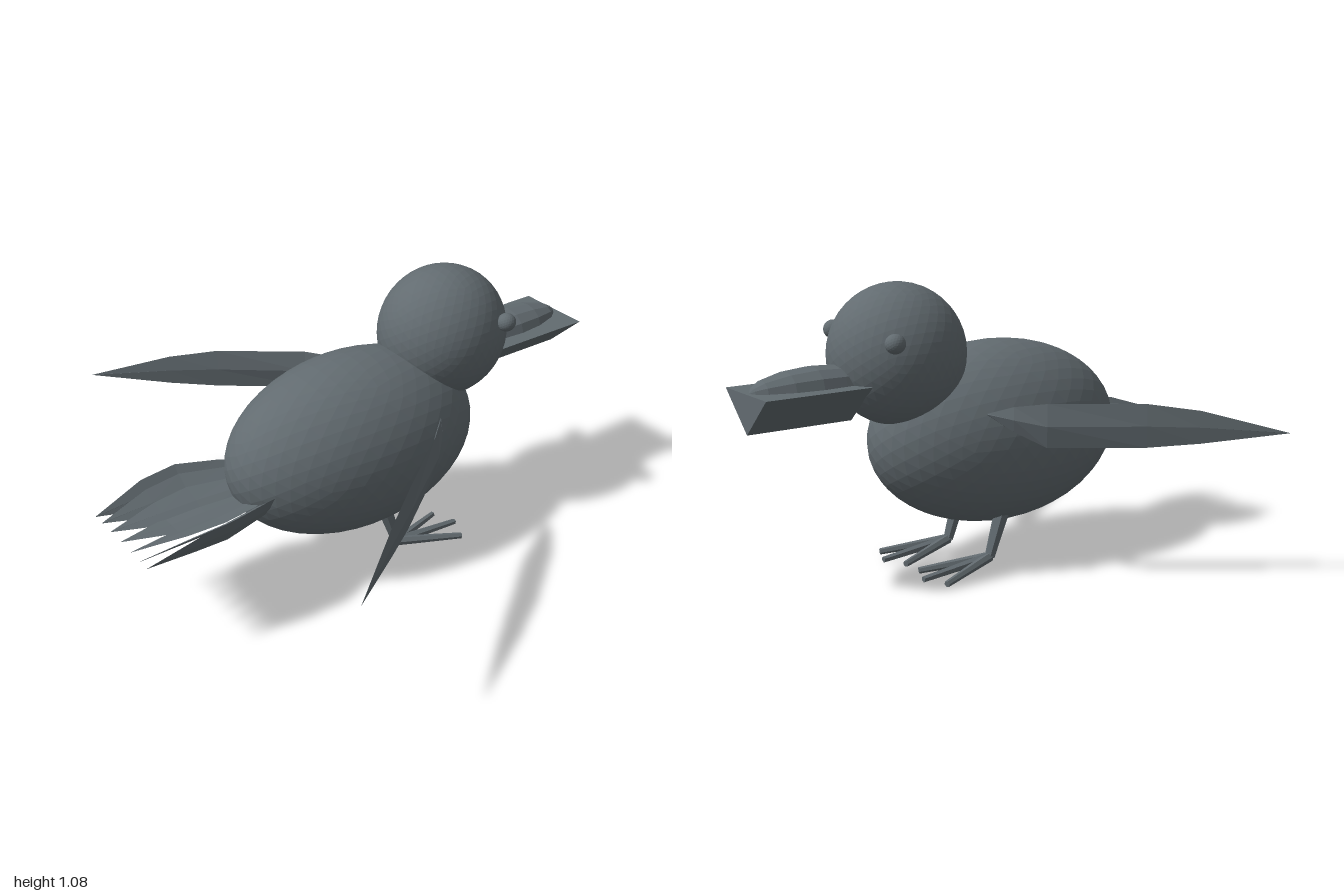
import * as THREE from 'three';

const V = (x, y, z) => new THREE.Vector3(x, y, z);

// Facet a geometry by giving each triangle its own normal
function faceted(geo) {
  const g = geo.index ? geo.toNonIndexed() : geo;
  g.computeVertexNormals();
  return g;
}

// Loft a diamond section: each station has a centre, half width and half thickness vector
function loft(stations) {
  const pos = [], idx = [];
  for (const { p, a, n } of stations) {
    for (const v of [a, n, a.clone().negate(), n.clone().negate()]) {
      pos.push(p.x + v.x, p.y + v.y, p.z + v.z);
    }
  }
  for (let s = 0; s < stations.length - 1; s++) {
    for (let k = 0; k < 4; k++) {
      const i = s * 4 + k, j = s * 4 + (k + 1) % 4;
      idx.push(i, j, i + 4, j, j + 4, i + 4);
    }
  }
  const g = new THREE.BufferGeometry();
  g.setAttribute('position', new THREE.Float32BufferAttribute(pos, 3));
  g.setIndex(idx);
  return g;
}

// Flip across x = 0, keeping faces outward
function mirrored(geo) {
  const g = geo.clone().scale(-1, 1, 1);
  const a = g.index.array;
  for (let i = 0; i < a.length; i += 3) [a[i], a[i + 1]] = [a[i + 1], a[i]];
  return g;
}

// Tapered rod between two points
function rod(p, q, r0, r1) {
  const d = q.clone().sub(p);
  const g = new THREE.CylinderGeometry(r1, r0, d.length(), 6);
  g.applyQuaternion(new THREE.Quaternion().setFromUnitVectors(V(0, 1, 0), d.clone().normalize()));
  const m = p.clone().add(q).multiplyScalar(0.5);
  return g.translate(m.x, m.y, m.z);
}

export function createModel() {
  const bird = new THREE.Group();
  bird.name = 'bird';
  const slate = new THREE.MeshStandardMaterial({ color: 0x626b70 });
  slate.name = 'slate grey';

  const add = (name, geo, parent = bird) => {
    const m = new THREE.Mesh(faceted(geo), slate);
    m.name = name;
    parent.add(m);
  };
  const ball = (name, p, r, detail) =>
    add(name, new THREE.IcosahedronGeometry(1, detail).scale(r.x, r.y, r.z).translate(p.x, p.y, p.z));

  // Body, head and eyes
  ball('body', V(0, 0.49, 0.02), V(0.313, 0.345, 0.528), 7);
  ball('head', V(0, 0.823, -0.408), V(0.235, 0.256, 0.257), 7);
  for (const s of [1, -1]) {
    ball(s > 0 ? 'leftEye' : 'rightEye', V(s * 0.21, 0.897, -0.545), V(0.035, 0.035, 0.037), 3);
  }

  // Lower beak: triangular prism with its ridge downwards
  const wedge = new THREE.Shape([
    new THREE.Vector2(-0.15, 0.745), new THREE.Vector2(0, 0.605), new THREE.Vector2(0.15, 0.745),
  ]);
  add('lowerBeak', new THREE.ExtrudeGeometry(wedge, { depth: 0.4, bevelEnabled: false }).translate(0, 0, -1));

  // Upper beak: rounded taper resting on the prism
  const beakProfile = [[0, 0.5], [0.075, 0.55], [0.086, 0.66], [0.092, 0.75], [0.081, 0.85],
    [0.052, 0.94], [0.025, 0.975], [0, 0.987]].map(([r, z]) => new THREE.Vector2(r, z));
  add('upperBeak', new THREE.LatheGeometry(beakProfile, 12)
    .rotateX(-Math.PI / 2).scale(1, 0.76, 1).translate(0, 0.745, 0));

  // Wings: thin swept blades, [x, z, top, bottom, half thickness]
  const blade = [
    [0.26, -0.2, 0.622, 0.618, 0.002], [0.33, -0.135, 0.65, 0.56, 0.014],
    [0.41, -0.05, 0.664, 0.506, 0.016], [0.62, 0.23, 0.665, 0.508, 0.01],
    [0.73, 0.385, 0.64, 0.522, 0.006], [0.912, 0.64, 0.56, 0.559, 0.0005],
  ];
  const wing = loft(blade.map(([x, z, top, bottom, t]) => ({
    p: V(x, (top + bottom) / 2, z),
    a: V(0, (top - bottom) / 2, 0),
    n: V(-0.82 * t, 0, 0.57 * t),
  })));
  add('leftWing', wing);
  add('rightWing', mirrored(wing));

  // Tail: seven pointed feathers, outer ones rolled upward
  const tail = new THREE.Group();
  tail.name = 'tail';
  bird.add(tail);
  const quill = [[0.4, 0.03, 0.004], [0.5, 0.055, 0.005], [0.66, 0.072, 0.005],
    [0.8, 0.055, 0.004], [0.998, 0.001, 0.0005]];
  for (let i = -3; i <= 3; i++) {
    const roll = i * 0.35, out = Math.sin(roll) * 0.205;
    const feather = loft(quill.map(([z, w, t]) => {
      const spread = Math.min(1, 0.62 + (z - 0.4) * 1.3);
      const lift = 0.405 + 0.03 * Math.abs(i) / 3;
      return {
        p: V(out * spread + i * 0.004, z > 0.9 ? 0.418 : lift, z),
        a: V(Math.cos(roll) * w, Math.sin(roll) * w, 0),
        n: V(-Math.sin(roll) * t, Math.cos(roll) * t, 0),
      };
    }));
    add('tailFeather', feather, tail);
  }

  // Legs with three forward toes each
  for (const s of [1, -1]) {
    const leg = new THREE.Group();
    leg.name = s > 0 ? 'leftLeg' : 'rightLeg';
    bird.add(leg);
    const ankle = V(s * 0.137, 0.042, -0.1);
    add('shin', rod(V(s * 0.137, 0.22, -0.04), ankle, 0.031, 0.02), leg);
    for (const k of [-1, 0, 1]) {
      const tip = V(s * 0.137 + k * 0.092, 0.014, k ? -0.355 : -0.395);
      add('toe', rod(ankle, tip, 0.019, 0.012), leg);
    }
  }
  return bird;
}
